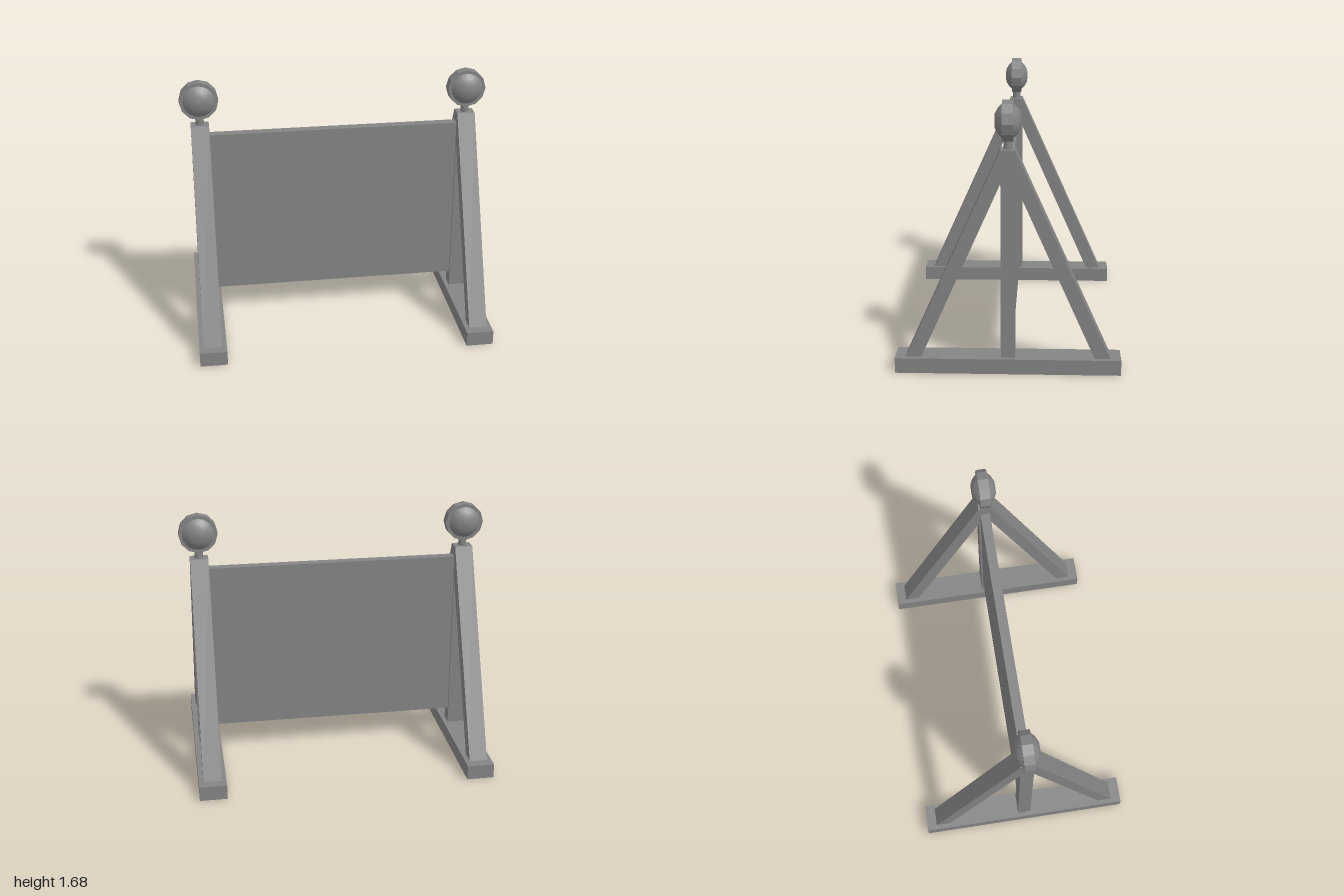
import * as THREE from 'three';

export function createModel() {
  const model = new THREE.Group();
  const grey = new THREE.MeshStandardMaterial({ color: 0x848484 });
  grey.name = 'plain grey';

  function add(parent, name, geometry, x, y, z) {
    const mesh = new THREE.Mesh(geometry, grey);
    mesh.name = name;
    mesh.position.set(x, y, z);
    parent.add(mesh);
    return mesh;
  }

  // Shared A-frame legs, extruded across the width of the post
  const legWidth = 0.117;
  const outline = [
    [-0.625, 0.095], [-0.53, 0.095], [-0.043, 1.19], [0.043, 1.19],
    [0.53, 0.095], [0.625, 0.095], [0.043, 1.39], [-0.043, 1.39],
  ].map(([z, y]) => new THREE.Vector2(z, y));
  const legs = new THREE.ExtrudeGeometry(new THREE.Shape(outline), { depth: legWidth, bevelEnabled: false });
  legs.translate(0, 0, -legWidth / 2);
  legs.rotateY(Math.PI / 2);

  // Lamp rim with twelve flat sides, and a smooth shallow lens
  const rim = new THREE.CylinderGeometry(0.125, 0.125, 0.066, 12).toNonIndexed();
  rim.rotateX(Math.PI / 2);
  rim.computeVertexNormals();
  const lens = new THREE.LatheGeometry(
    [[0.102, 0.033], [0.077, 0.058], [0.043, 0.076], [0, 0.079]].map(([r, y]) => new THREE.Vector2(r, y)), 20);
  lens.rotateX(Math.PI / 2);

  // Mirrored end supports
  for (const side of [-1, 1]) {
    const support = new THREE.Group();
    support.name = side > 0 ? 'leftSupport' : 'rightSupport';
    support.position.x = side * 0.873;
    model.add(support);

    add(support, 'foot', new THREE.BoxGeometry(0.176, 0.096, 1.38), 0, 0.048, 0);
    add(support, 'slantedLegs', legs, 0, 0, 0);
    add(support, 'post', new THREE.BoxGeometry(legWidth, 1.1, 0.086), 0, 0.642, 0);
    add(support, 'lampStem', new THREE.CylinderGeometry(0.027, 0.027, 0.08, 12), 0, 1.42, 0);

    const lamp = new THREE.Group();
    lamp.name = 'lamp';
    lamp.position.y = 1.555;
    support.add(lamp);
    add(lamp, 'rim', rim, 0, 0, 0);
    add(lamp, 'frontLens', lens, 0, 0, 0);
    add(lamp, 'backLens', lens, 0, 0, 0).rotation.y = Math.PI;
  }

  // Barrier board between the posts
  add(model, 'board', new THREE.BoxGeometry(1.64, 1.12, 0.062), 0, 0.76, 0);

  return model;
}
